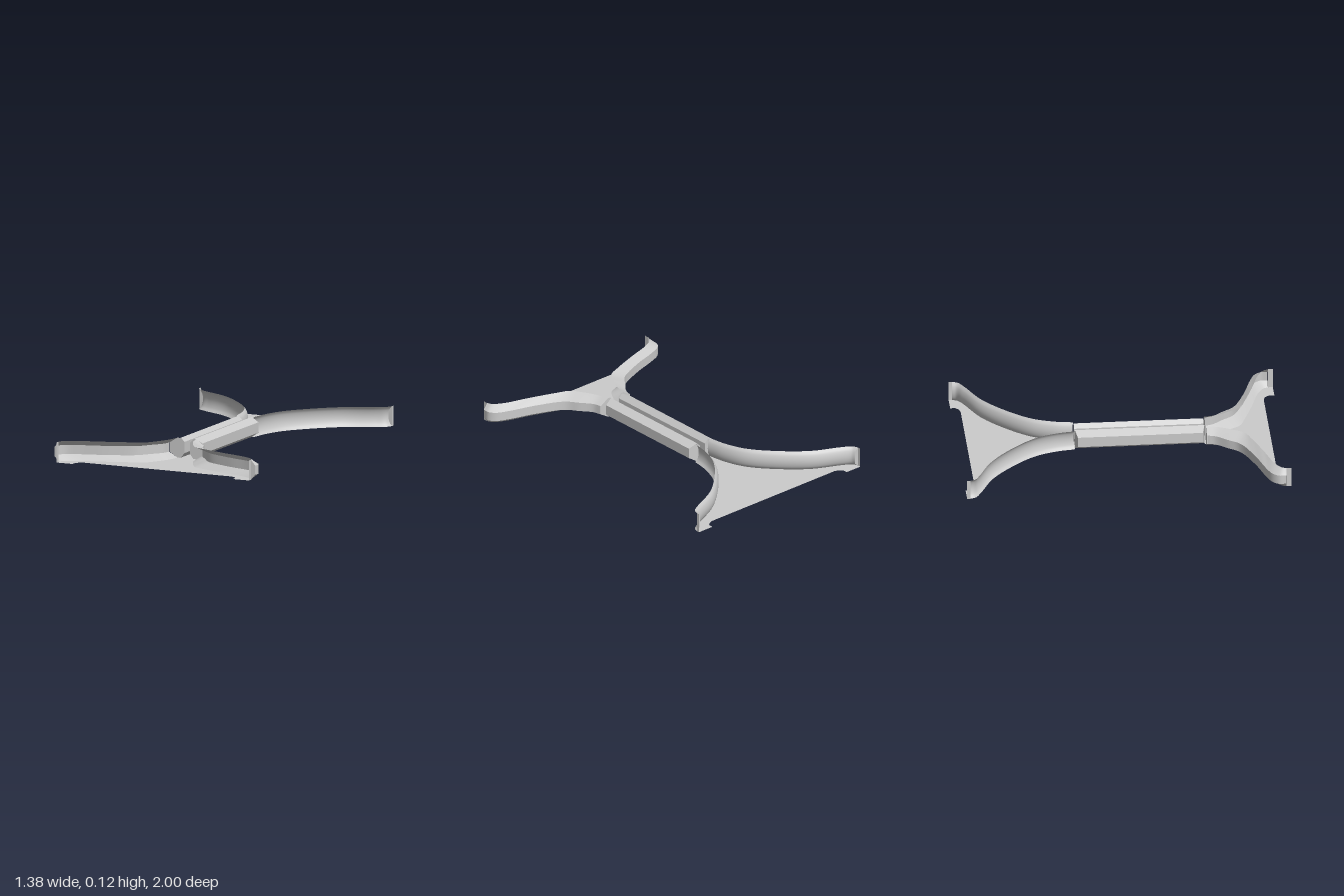
import * as THREE from 'three';

const H = 0.125;
const mat = new THREE.MeshStandardMaterial({ color: 0xcccccc, side: THREE.DoubleSide });

// plan points are [x, z]
const frontEdge = [[0.065, 0.525], [0.08, 0.6], [0.125, 0.69], [0.17, 0.755], [0.25, 0.79], [0.42, 0.85], [0.58, 0.9], [0.645, 0.94], [0.66, 0.97]];
const frontBulge = [[0.12, 0.53], [0.135, 0.58], [0.19, 0.65], [0.245, 0.72], [0.42, 0.8], [0.58, 0.85], [0.66, 0.885], [0.69, 0.925], [0.688, 0.968]];
const backEdge = [[0.06, -0.285], [0.08, -0.4], [0.13, -0.53], [0.24, -0.67], [0.41, -0.82], [0.58, -0.905], [0.645, -0.945], [0.66, -0.98]];
const backBulge = [[0.037, -0.29], [0.058, -0.405], [0.11, -0.54], [0.222, -0.685], [0.395, -0.84], [0.565, -0.925], [0.623, -0.957], [0.635, -0.98]];

function sample(points, n = 48) {
  return new THREE.CatmullRomCurve3(points.map(([x, z]) => new THREE.Vector3(x, 0, z))).getPoints(n);
}

function mesh(name, geometry) {
  const m = new THREE.Mesh(geometry, mat);
  m.name = name;
  return m;
}

// smooth quad grid through rows of points
function grid(rows) {
  const n = rows[0].length, idx = [];
  for (let r = 0; r < rows.length - 1; r++) {
    for (let i = 0; i < n - 1; i++) {
      const a = r * n + i, b = a + n;
      idx.push(a, a + 1, b, a + 1, b + 1, b);
    }
  }
  const g = new THREE.BufferGeometry().setFromPoints(rows.flat());
  g.setIndex(idx);
  g.computeVertexNormals();
  return g;
}

// wall row at height y, moved by k from the edge line to the bulge line
function wallRow(edge, bulge, y, k) {
  const b = sample(bulge);
  return sample(edge).map((p, i) => p.lerp(b[i], k).setY(y));
}

// upright end plate from [x, y] corners
function plate(name, corners, z) {
  const m = mesh(name, new THREE.ShapeGeometry(new THREE.Shape(corners.map(c => new THREE.Vector2(...c)))));
  m.position.z = z;
  return m;
}

function buildSide() {
  const side = new THREE.Group();

  // front wall: faceted channel bulging outwards
  const rows = [[0, 0], [0.033, 1], [0.09, 1], [H, 0]].map(([y, k]) => wallRow(frontEdge, frontBulge, y, k));
  for (let i = 0; i < 3; i++) side.add(mesh('frontWall', grid([rows[i], rows[i + 1]])));

  // back wall: rounded channel bulging inwards
  const backRows = [];
  for (let i = 0; i <= 10; i++) {
    const t = i / 10;
    backRows.push(wallRow(backEdge, backBulge, t * H, Math.pow(Math.sin(Math.PI * Math.min(t, 1 - t)), 0.6)));
  }
  side.add(mesh('backWall', grid(backRows)));

  // middle rail: six-sided bar with mitred ends
  const ring = [[0.045, 0, 0], [0.097, 0.033, 0.014], [0.097, 0.098, 0.014], [0.045, H, 0], [0.021, 0.1, 0], [0.021, 0.03, 0]];
  const back = ring.map(([x, y, m]) => new THREE.Vector3(x, y, -0.282 + m));
  const front = ring.map(([x, y, m]) => new THREE.Vector3(x, y, 0.517 - m));
  for (let i = 0; i < 6; i++) {
    const j = (i + 1) % 6;
    side.add(mesh('middleRail', grid([[back[i], back[j]], [front[i], front[j]]])));
  }
  for (const end of [back, front]) {
    side.add(mesh('railEnd', grid([[end[0], end[1]], [end[3], end[2]]])));
    side.add(mesh('railEnd', grid([[end[0], end[5]], [end[3], end[4]]])));
  }

  // plates closing the wall ends
  side.add(plate('frontInnerPlate', [[0.045, 0], [0.065, 0], [0.12, 0.033], [0.12, 0.09], [0.065, H], [0.045, H], [0.021, 0.1], [0.021, 0.03]], 0.526));
  side.add(plate('frontEndPlate', [[0.66, 0], [0.688, 0.033], [0.688, 0.09], [0.66, H]], 0.969));
  side.add(plate('backEndPlate', [[0.66, 0], [0.66, H], [0.635, 0.105], [0.635, 0.02]], -0.98));

  // short straight wall ends
  for (const [z0, z1] of [[0.97, 1], [-1, -0.98]]) {
    const corner = (y, z) => new THREE.Vector3(0.66, y, z);
    side.add(mesh('wallEnd', grid([[corner(0, z0), corner(0, z1)], [corner(H, z0), corner(H, z1)]])));
  }
  return side;
}

function buildFloor() {
  // right-hand outline from back to front, then mirrored
  const half = [
    [0.5, -0.94], [0.53, -0.95], [0.55, -0.97], [0.55, -1], [0.66, -1],
    ...sample(backEdge).reverse().map(p => [p.x, p.z]),
    [0.045, -0.282], [0.045, 0.517],
    ...sample(frontEdge).map(p => [p.x, p.z]),
    [0.66, 1], [0.55, 1], [0.55, 0.965], [0.53, 0.94], [0.5, 0.93],
  ];
  const outline = [...half, ...half.map(([x, z]) => [-x, z]).reverse()];
  const g = new THREE.ShapeGeometry(new THREE.Shape(outline.map(([x, z]) => new THREE.Vector2(x, -z))));
  g.rotateX(-Math.PI / 2);
  return mesh('floor', g);
}

export function createModel() {
  const model = new THREE.Group();
  model.name = 'channelSection';
  model.add(buildFloor());
  const left = buildSide();
  left.name = 'leftSide';
  const right = buildSide();
  right.name = 'rightSide';
  right.scale.x = -1;
  model.add(left, right);
  return model;
}
